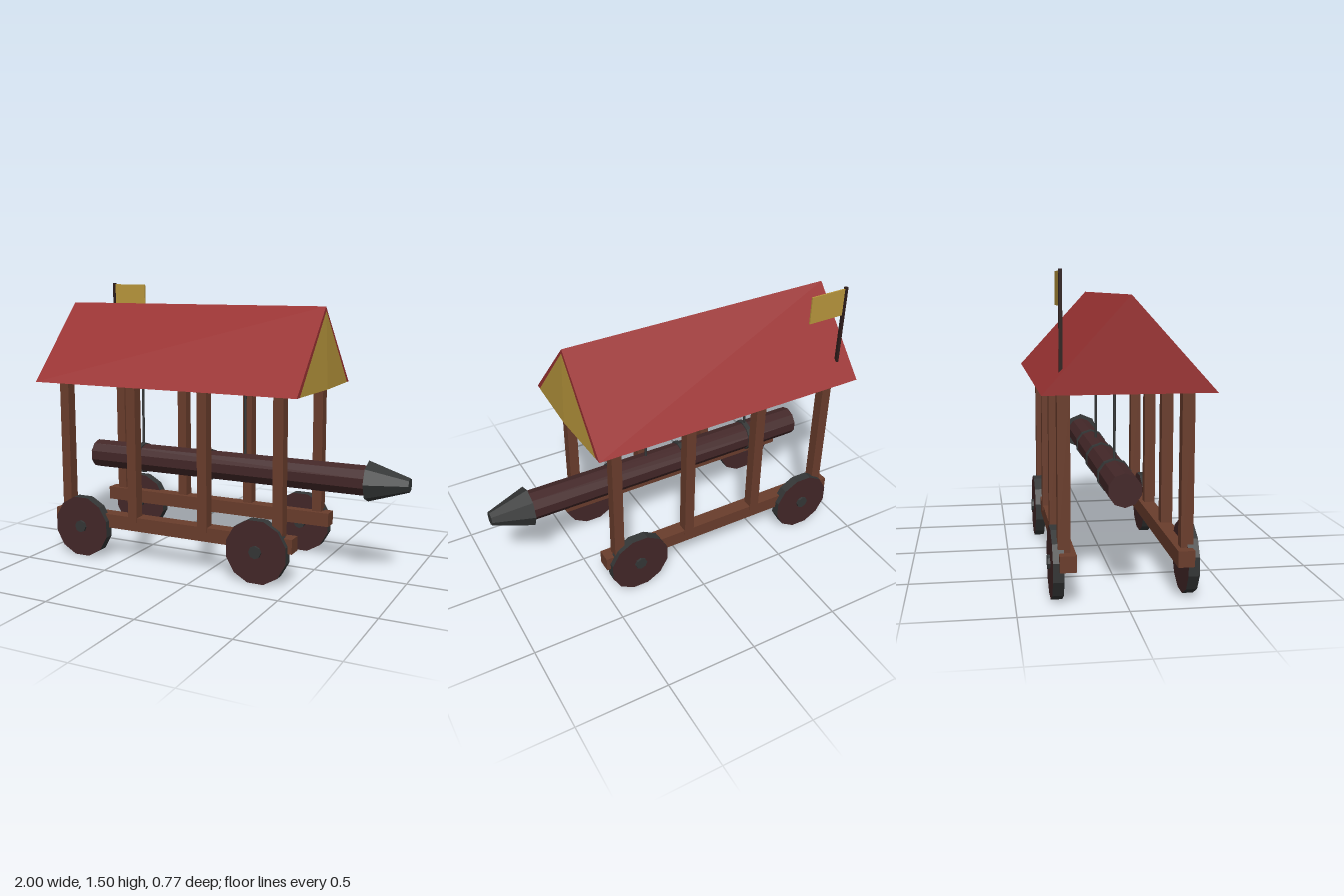
import * as THREE from 'three';

const mat = (name, color) => new THREE.MeshStandardMaterial({ name, color, flatShading: true });

export function createModel() {
  const red = mat('roof red', 0x9a3232);
  const gold = mat('gold', 0xb8963c);
  const wood = mat('frame wood', 0x6a3d2c);
  const darkWood = mat('dark wood', 0x432728);
  const iron = mat('iron', 0x343636);
  const poleDark = mat('pole brown', 0x2c1c1a);

  const model = new THREE.Group();
  model.name = 'coveredBatteringRam';

  const add = (name, geo, material, x = 0, y = 0, z = 0) => {
    const mesh = new THREE.Mesh(geo, material);
    mesh.name = name;
    mesh.position.set(x, y, z);
    model.add(mesh);
    return mesh;
  };
  const box = (w, h, d) => new THREE.BoxGeometry(w, h, d);
  // Cylinder lying along x, with a corner at the top
  const alongX = (rEnd, rStart, length, sides) =>
    new THREE.CylinderGeometry(rEnd, rStart, length, sides, 1, false, Math.PI / 2).rotateZ(-Math.PI / 2);

  // Roof: a closed triangular prism
  const gableShape = new THREE.Shape([
    new THREE.Vector2(-0.386, 0.973), new THREE.Vector2(0.386, 0.973), new THREE.Vector2(0, 1.396),
  ]);
  const roof = new THREE.ExtrudeGeometry(gableShape, { depth: 1.54, bevelEnabled: false });
  add('roof', roof.rotateY(Math.PI / 2), red, -1);

  // Gable panel: two shallow faces, bulging slightly at the bottom centre
  const L = [0.542, 0.974, 0.352], R = [0.542, 0.974, -0.352];
  const T = [0.542, 1.374, 0], C = [0.556, 0.974, 0];
  const panel = new THREE.BufferGeometry();
  panel.setAttribute('position', new THREE.Float32BufferAttribute(
    [L, C, T, C, R, T, L, R, C].flat(), 3));
  panel.computeVertexNormals();
  add('gablePanel', panel, gold);

  // Side frames: beams, posts and wheels
  const wheelGeo = new THREE.CylinderGeometry(0.171, 0.171, 0.052, 12, 1, false, Math.PI / 12).rotateX(Math.PI / 2);
  const hubGeo = new THREE.CylinderGeometry(0.034, 0.034, 0.08, 8).rotateX(Math.PI / 2);
  for (const s of [1, -1]) {
    add('beam', box(1.44, 0.076, 0.077), wood, -0.228, 0.213, s * 0.268);
    for (let i = 0; i < 4; i++) {
      add('post', box(0.055, 0.75, 0.058), wood, -0.867 + i * 0.427, 0.6, s * 0.281);
    }
    for (const x of [-0.76, 0.305]) {
      add('wheel', wheelGeo, [iron, darkWood, darkWood], x, 0.168, s * 0.309);
      add('hub', hubGeo, iron, x, 0.17, s * 0.307);
    }
  }

  // Ram: log, iron head, bands and hanging ropes
  const ramY = 0.518;
  add('ramLog', alongX(0.08, 0.08, 1.65, 10), darkWood, -0.035, ramY);
  add('ramHead', alongX(0.037, 0.107, 0.214, 8), iron, 0.893, ramY);
  for (const x of [-0.55, -0.122, 0.305]) {
    add('ramBand', alongX(0.087, 0.087, 0.028, 10), iron, x, ramY);
  }
  for (const x of [-0.55, 0.092]) {
    add('rope', new THREE.CylinderGeometry(0.007, 0.007, 0.42, 6), iron, x, 0.78);
  }

  // Flag on the back slope of the roof
  add('flagPole', box(0.016, 0.47, 0.016), poleDark, -0.92, 1.27, -0.295);
  add('flag', box(0.205, 0.15, 0.008), gold, -0.81, 1.422, -0.295);

  return model;
}
